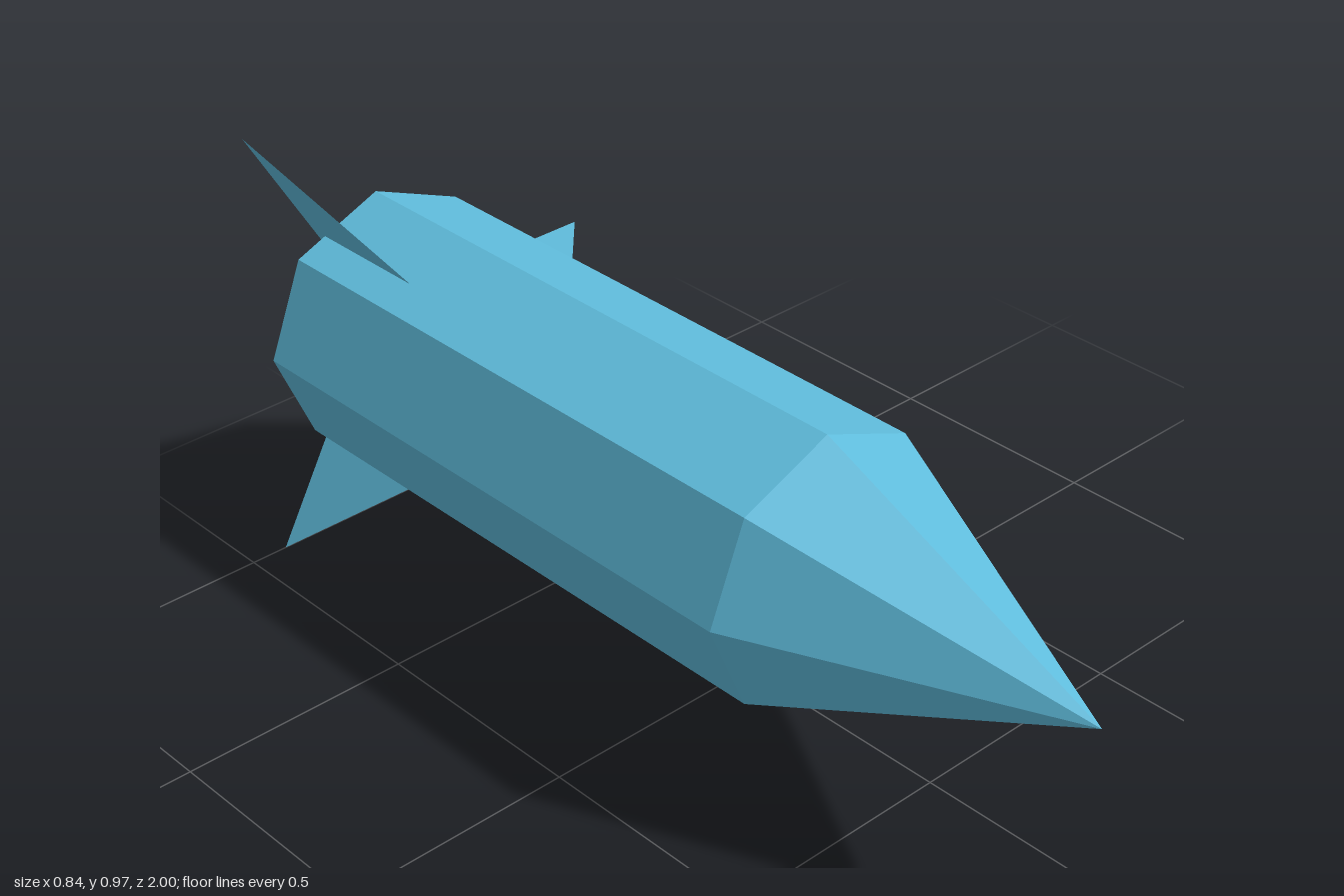
import * as THREE from 'three';

const SIDES = 8, RADIUS = 0.286;
const TAIL = -0.96, SHOULDER = 0.345, TIP = 1;

export function createModel() {
  const model = new THREE.Group();
  model.name = 'rocket';

  const blue = new THREE.MeshStandardMaterial({ color: 0x5fbbdb, flatShading: true, side: THREE.DoubleSide });
  blue.name = 'sky blue';

  const add = (name, geometry) => {
    const mesh = new THREE.Mesh(geometry, blue);
    mesh.name = name;
    model.add(mesh);
    return mesh;
  };

  // Eight-sided hull lying along z
  const hull = new THREE.CylinderGeometry(RADIUS, RADIUS, SHOULDER - TAIL, SIDES);
  hull.rotateX(Math.PI / 2).translate(0, 0, (SHOULDER + TAIL) / 2);
  add('hull', hull);

  // Pointed nose, open where it meets the hull
  const nose = new THREE.ConeGeometry(RADIUS, TIP - SHOULDER, SIDES, 1, true);
  nose.rotateX(Math.PI / 2).translate(0, 0, (TIP + SHOULDER) / 2);
  add('noseCone', nose);

  // Three flat triangular fins, sunk into the hull and reaching past its tail
  const outline = new THREE.Shape([
    new THREE.Vector2(0.205, -1),
    new THREE.Vector2(0.558, -1),
    new THREE.Vector2(0.205, -0.612),
  ]);
  const fin = new THREE.ShapeGeometry(outline).rotateX(Math.PI / 2);
  for (let i = 0; i < 3; i++) {
    add('tailFin' + (i + 1), fin).rotation.z = (i * Math.PI * 2) / 3;
  }

  // Hull axis sits off centre because the fins are uneven about it
  for (const part of model.children) part.position.set(-0.138, 0.488, 0);
  return model;
}
